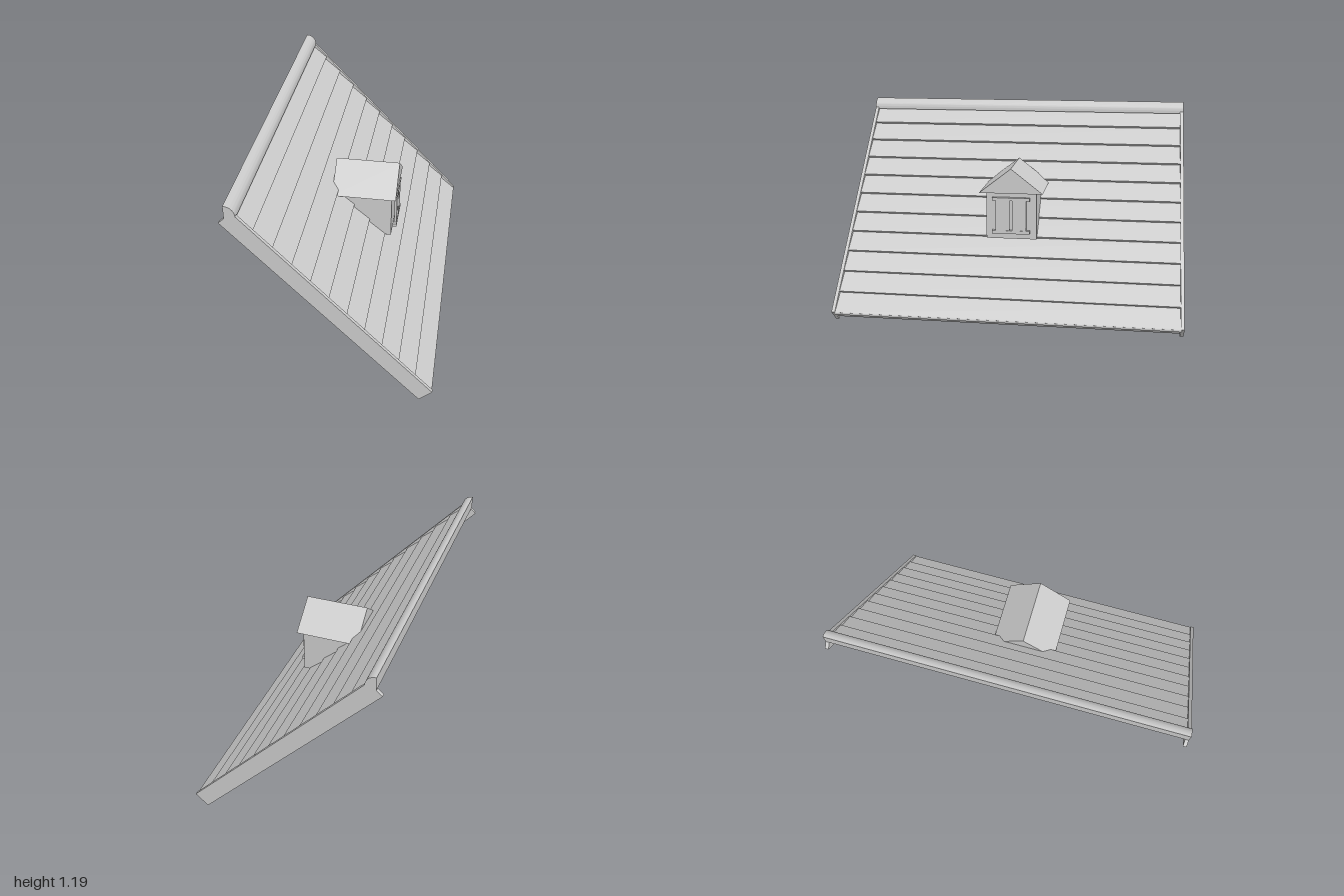
import * as THREE from 'three';
import { toCreasedNormals } from 'three/addons/utils/BufferGeometryUtils.js';

export function createModel() {
  const model = new THREE.Group();
  const grey = new THREE.MeshStandardMaterial({ color: 0xcccccc });
  grey.name = 'lightGrey';

  function add(parent, name, geometry) {
    const mesh = new THREE.Mesh(geometry, grey);
    mesh.name = name;
    parent.add(mesh);
    return mesh;
  }
  // Extrudes a shape in the x-y plane from z0 to z1
  function slab(shape, z0, z1) {
    const geometry = new THREE.ExtrudeGeometry(shape, { depth: z1 - z0, bevelEnabled: false, curveSegments: 10 });
    return geometry.translate(0, 0, z0);
  }
  // Box given by its x, y and z limits
  function box(x0, x1, y0, y1, z0, z1) {
    return new THREE.BoxGeometry(x1 - x0, y1 - y0, z1 - z0)
      .translate((x0 + x1) / 2, (y0 + y1) / 2, (z0 + z1) / 2);
  }

  // Slope coordinates: s runs up the pitch, h is the height off its underside
  const foot = new THREE.Vector2(0.475, 0);
  const up = new THREE.Vector2(-1.02, 1.085).normalize();
  const out = new THREE.Vector2(up.y, -up.x);
  const onSlope = (s, h) => foot.clone().addScaledVector(up, s).addScaledVector(out, h);
  const length = 1.488, depth = 0.097;

  // Boards closing the two ends of the slope
  const endShape = new THREE.Shape([
    onSlope(0, 0), onSlope(0, depth), onSlope(length, depth), onSlope(length, 0)]);
  add(model, 'endBoardLeft', slab(endShape, 0.98, 1));
  add(model, 'endBoardRight', slab(endShape, -1, -0.98));

  // Overlapping planks: a saw-tooth section with a flat underside
  const rows = 11, pitch = 0.1345;
  const section = [onSlope(0, 0.04)];
  for (let i = 0; i < rows; i++) {
    section.push(onSlope(i * pitch, 0.092), onSlope((i + 1) * pitch, 0.076));
  }
  section.push(onSlope(rows * pitch, 0.04));
  add(model, 'planks', slab(new THREE.Shape(section), -0.98, 0.98));

  // Rounded bead along the eaves
  const bead = add(model, 'eavesBead', new THREE.CylinderGeometry(0.011, 0.011, 1.97, 10));
  bead.rotation.x = Math.PI / 2;
  bead.position.set(0.532, 0.058, 0);

  // Ridge cap with a quarter-round outer side
  const cap = new THREE.Shape();
  cap.moveTo(-0.513, 1.113);
  cap.lineTo(-0.475, 1.135);
  cap.lineTo(-0.455, 1.12);
  cap.lineTo(-0.455, 1.132);
  cap.absarc(-0.51, 1.132, 0.055, 0, Math.PI / 2, false);
  cap.lineTo(-0.513, 1.187);
  cap.closePath();
  add(model, 'ridgeCap', toCreasedNormals(slab(cap, -1, 1), 0.6));

  // Dormer
  const dormer = new THREE.Group();
  dormer.name = 'dormer';
  model.add(dormer);
  add(dormer, 'dormerBody', box(-0.122, 0.209, 0.45, 0.726, -0.147, 0.147));
  const gable = new THREE.Shape([
    new THREE.Vector2(-0.186, 0.726), new THREE.Vector2(0.186, 0.726), new THREE.Vector2(0, 0.871)]);
  add(dormer, 'dormerRoof', slab(gable, -0.139, 0.236).rotateY(Math.PI / 2));

  // Window with two upright panels between two rails
  const windowGroup = new THREE.Group();
  windowGroup.name = 'window';
  dormer.add(windowGroup);
  add(windowGroup, 'topRail', box(0.214, 0.237, 0.682, 0.7, -0.11, 0.11));
  add(windowGroup, 'bottomRail', box(0.214, 0.237, 0.485, 0.504, -0.11, 0.11));
  for (const side of [-1, 1]) {
    add(windowGroup, side > 0 ? 'leftPanel' : 'rightPanel',
      box(0.221, 0.235, 0.504, 0.682, side * 0.049 - 0.041, side * 0.049 + 0.041));
  }

  return model;
}
